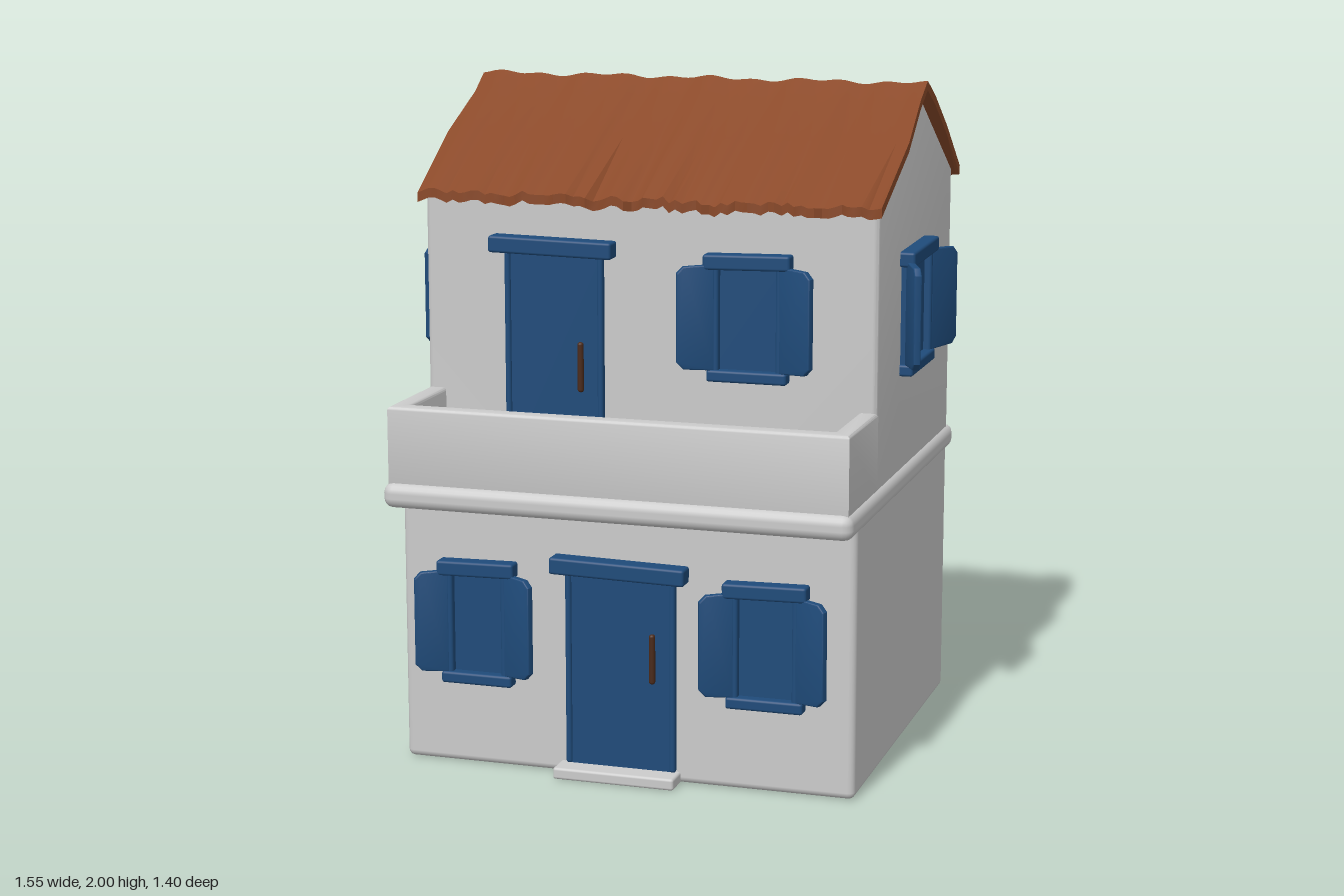
import * as THREE from 'three';
import { toCreasedNormals } from 'three/addons/utils/BufferGeometryUtils.js';
import { RoundedBoxGeometry } from 'three/addons/geometries/RoundedBoxGeometry.js';

const wall = new THREE.MeshStandardMaterial({ color: 0xcccccc });
const blue = new THREE.MeshStandardMaterial({ color: 0x1f4b7a });
const tile = new THREE.MeshStandardMaterial({ color: 0x8b4a2a, side: THREE.DoubleSide });
const dark = new THREE.MeshStandardMaterial({ color: 0x4a2a1a });

function add(parent, name, geo, mat, x = 0, y = 0, z = 0) {
  const m = new THREE.Mesh(geo, mat);
  m.name = name;
  m.position.set(x, y, z);
  parent.add(m);
  return m;
}
const rbox = (w, h, d, r = 0.008) => new RoundedBoxGeometry(w, h, d, 2, r);

function shapeOf(points) {
  return new THREE.Shape(points.map(([x, y]) => new THREE.Vector2(x, y)));
}
function bevelled(shape, depth, b) {
  const geo = new THREE.ExtrudeGeometry(shape, {
    depth: depth - 2 * b, bevelEnabled: true, bevelSize: b, bevelThickness: b, bevelOffset: -b, bevelSegments: 3,
  });
  return toCreasedNormals(geo.translate(0, 0, b), 0.6);
}

// Window facing +z: pane, frame, lintel, sill and two half-open shutters
function makeWindow(name, w, shutterW) {
  const g = new THREE.Group();
  g.name = name;
  add(g, 'pane', new THREE.BoxGeometry(w, 0.32, 0.02), blue, 0, 0, 0);
  const lintel = add(g, 'lintel', rbox(w + 0.04, 0.045, 0.07), blue, 0, 0.165, 0.01);
  lintel.rotation.z = 0.02;
  add(g, 'sill', rbox(w + 0.02, 0.035, 0.06), blue, 0, -0.17, 0.01);
  for (const s of [-1, 1]) {
    add(g, 'jamb', rbox(0.025, 0.32, 0.045), blue, s * (w / 2 - 0.012), 0, 0.01);
    const hinge = new THREE.Group();
    hinge.name = 'shutterHinge';
    hinge.position.set(s * (w / 2 - 0.005), 0, 0.012);
    hinge.rotation.y = -s * 0.42;
    g.add(hinge);
    // Outer edge is a little shorter than the hinged edge
    const shutter = bevelled(shapeOf([
      [0, -0.155], [shutterW - 0.02, -0.15], [shutterW, -0.13],
      [shutterW, 0.13], [shutterW - 0.02, 0.15], [0, 0.155],
    ]), 0.022, 0.004);
    if (s < 0) shutter.rotateY(Math.PI).translate(0, 0, 0.022);
    add(hinge, 'shutter', shutter, blue);
  }
  return g;
}

// Door facing +z, standing on its local origin
function makeDoor(name, w, h, handleY) {
  const g = new THREE.Group();
  g.name = name;
  add(g, 'doorLeaf', new THREE.BoxGeometry(w, h, 0.02), blue, 0, h / 2, 0);
  for (const s of [-1, 1]) add(g, 'doorJamb', rbox(0.018, h, 0.035), blue, s * (w / 2 - 0.006), h / 2, 0.002);
  add(g, 'doorLintel', rbox(w + 0.08, 0.05, 0.09), blue, 0, h + 0.02, 0.01).rotation.z = -0.02;
  add(g, 'doorHandle', rbox(0.018, 0.15, 0.018), dark, w / 2 - 0.065, handleY, 0.02);
  return g;
}

// Roof: a wavy sheet swept along x from a closed cross-section, ragged at the eaves
function makeRoof() {
  const top = [[0.385, 1.685], [0.1, 1.835], [-0.1, 1.94], [-0.18, 1.99], [-0.26, 1.94], [-0.45, 1.83], [-0.665, 1.69]];
  const loop = [...top, ...top.slice().reverse().map(([z, y]) => [z, y - 0.028])];
  const N = 72, M = loop.length, half = top.length;
  let seed = 7;
  const rand = () => (seed = (seed * 16807) % 2147483647) / 2147483647;
  const pos = [], idx = [];
  for (let i = 0; i <= N; i++) {
    const x = -0.71 + (1.42 * i) / N;
    const front = (rand() - 0.5) * 0.02, back = rand() * 0.04 - 0.025, drop = (rand() - 0.5) * 0.016;
    const ripple = 0.004 * Math.sin(x * 46) + 0.004 * Math.sin(x * 19 + 1);
    loop.forEach(([z, y], j) => {
      const atFront = j === 0 || j === M - 1, atBack = j === half - 1 || j === half;
      pos.push(x + 0.006 * Math.sin(z * 14) * (x / 0.71),
        y + ripple + (atFront || atBack ? drop : 0),
        z + (atFront ? front : atBack ? back : 0.006 * Math.sin(x * 9)));
    });
  }
  for (let i = 0; i < N; i++) {
    for (let j = 0; j < M; j++) {
      const a = i * M + j, b = i * M + ((j + 1) % M);
      idx.push(a, a + M, b + M, a, b + M, b);
    }
  }
  for (let k = 0; k < half - 1; k++) {
    const p = k, q = k + 1, r = M - 2 - k, s = M - 1 - k, e = N * M;
    idx.push(p, q, r, p, r, s, e + p, e + r, e + q, e + p, e + s, e + r);
  }
  const geo = new THREE.BufferGeometry();
  geo.setAttribute('position', new THREE.Float32BufferAttribute(pos, 3));
  geo.setIndex(idx);
  return toCreasedNormals(geo, 0.7);
}

export function createModel() {
  const house = new THREE.Group();
  house.name = 'house';

  // Ground floor and the slab that carries the balcony
  add(house, 'groundFloor', rbox(1.38, 0.84, 1.19, 0.02), wall, 0, 0.42, -0.025);
  add(house, 'floorBand', rbox(1.41, 0.075, 1.35, 0.03), wall, 0, 0.828, 0.018);
  add(house, 'doorstep', rbox(0.37, 0.035, 0.12), wall, -0.015, 0.0175, 0.585);

  // Upper floor with gable ends
  const gable = bevelled(shapeOf([[-0.35, 0.82], [0.625, 0.82], [0.625, 1.69], [0.18, 1.945], [-0.35, 1.685]]), 1.38, 0.015);
  gable.rotateY(Math.PI / 2);
  add(house, 'upperFloor', gable, wall, -0.69, 0, 0);

  // Balcony parapet, a U in plan
  const parapet = bevelled(shapeOf([
    [-0.69, -0.33], [-0.69, -0.67], [0.69, -0.67], [0.69, -0.33],
    [0.635, -0.33], [0.635, -0.615], [-0.635, -0.615], [-0.635, -0.33],
  ]), 0.25, 0.01);
  parapet.rotateX(-Math.PI / 2);
  add(house, 'balconyParapet', parapet, wall, 0, 0.84, 0);

  // Roof, with a few broken tiles on the back slope
  add(house, 'roof', makeRoof(), tile);
  for (const [x, z, w, l] of [[-0.48, -0.47, 0.018, 0.1], [-0.34, -0.5, 0.035, 0.09], [-0.41, -0.31, 0.035, 0.06],
    [-0.11, -0.33, 0.02, 0.1], [0.4, -0.33, 0.04, 0.07]]) {
    const y = z > -0.45 ? 1.83 + ((z + 0.45) / 0.19) * 0.11 : 1.83 + ((z + 0.45) / 0.215) * 0.14;
    const chip = add(house, 'brokenTile', new THREE.BoxGeometry(w, 0.012, l), dark, x, y + 0.001, z);
    chip.rotation.set(-0.55, x, 0);
  }

  // Doors
  const lowerDoor = makeDoor('frontDoor', 0.33, 0.58, 0.34);
  lowerDoor.position.set(-0.01, 0.035, 0.57);
  const upperDoor = makeDoor('balconyDoor', 0.3, 0.655, 0.32);
  upperDoor.position.set(-0.285, 0.86, 0.35);
  house.add(lowerDoor, upperDoor);

  // Windows: name, x, y, z, turn, width, shutter width
  const q = Math.PI / 2;
  for (const [name, x, y, z, turn, w, sw] of [
    ['lowerRightWindow', -0.45, 0.44, 0.57, 0, 0.2, 0.1],
    ['lowerLeftWindow', 0.43, 0.44, 0.57, 0, 0.21, 0.1],
    ['balconyWindow', 0.31, 1.35, 0.35, 0, 0.22, 0.11],
    ['rightWindow', -0.69, 1.335, -0.085, -q, 0.29, 0.13],
    ['leftWindow', 0.69, 1.335, -0.085, q, 0.29, 0.13],
    ['backRightWindow', -0.325, 1.355, -0.625, 2 * q, 0.24, 0.115],
    ['backLeftWindow', 0.325, 1.355, -0.625, 2 * q, 0.24, 0.115],
  ]) {
    const win = makeWindow(name, w, sw);
    win.position.set(x, y, z);
    win.rotation.y = turn;
    house.add(win);
  }
  return house;
}
